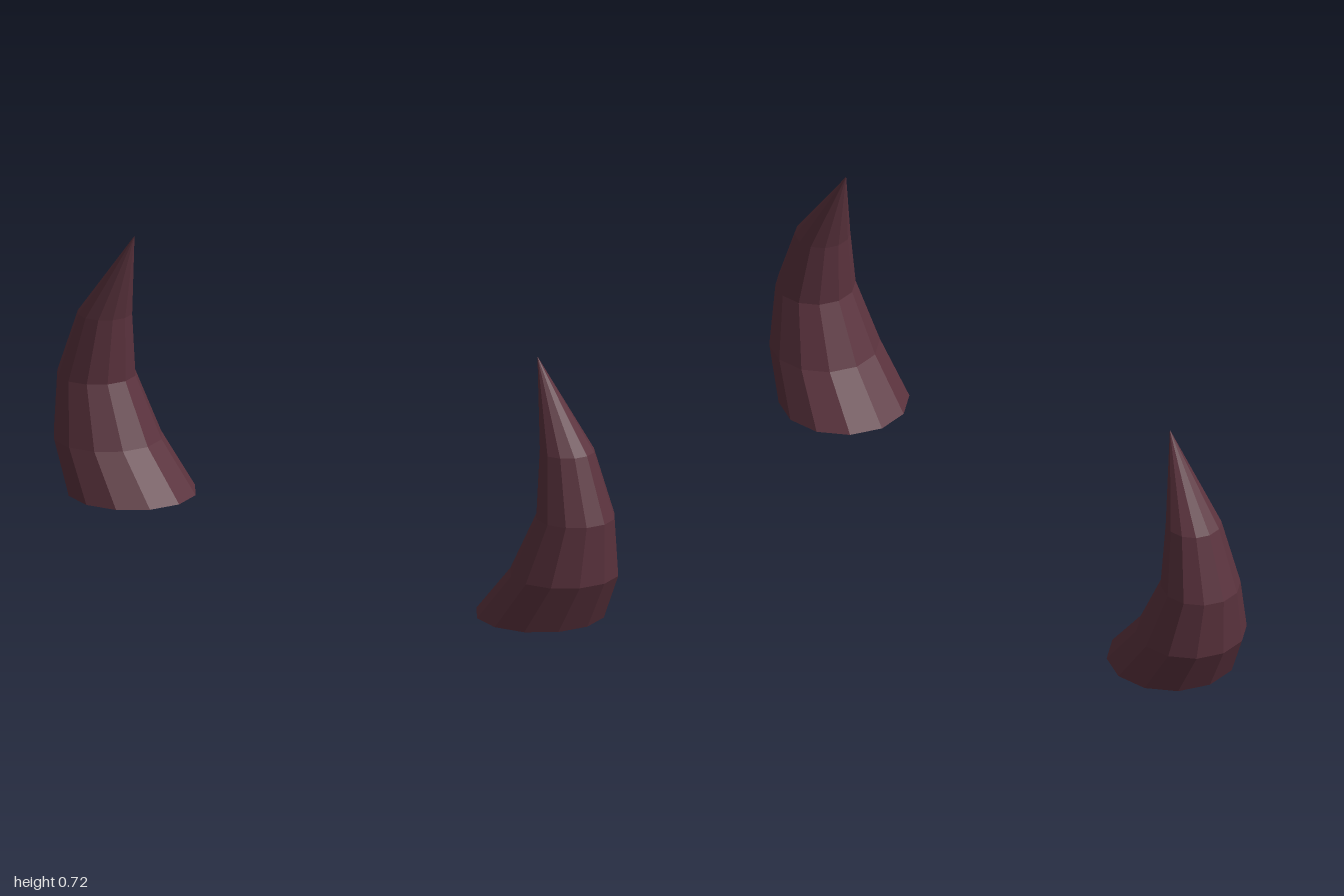
import * as THREE from 'three';

// Horizontal rings of a horn, base to tip: [height, centre x, radius]
const RINGS = [
  [0, 0.76, 0.176],
  [0.135, 0.85, 0.149],
  [0.302, 0.892, 0.108],
  [0.48, 0.86, 0.075],
  [0.72, 0.75, 0],
];

// A twelve-sided cone whose rows are moved onto the rings
function hornGeometry() {
  const rows = RINGS.length - 1;
  const geometry = new THREE.CylinderGeometry(0, 1, rows, 12, rows);
  const pos = geometry.attributes.position;
  for (let i = 0; i < pos.count; i++) {
    const row = Math.round(pos.getY(i) + rows / 2);
    const [y, cx, r] = RINGS[row];
    const scale = row < rows ? r / (1 - row / rows) : 0;
    pos.setXYZ(i, cx + pos.getX(i) * scale, y, pos.getZ(i) * scale);
  }
  geometry.computeVertexNormals();
  return geometry;
}

export function createModel() {
  const model = new THREE.Group();
  model.name = 'hornPair';
  const material = new THREE.MeshStandardMaterial({ color: 0x5a323d, flatShading: true });
  const geometry = hornGeometry();

  // The horn is symmetric in z, so a half turn mirrors it
  for (const [name, turn] of [['leftHorn', 0], ['rightHorn', Math.PI]]) {
    const horn = new THREE.Mesh(geometry, material);
    horn.name = name;
    horn.rotation.y = turn;
    model.add(horn);
  }
  return model;
}
